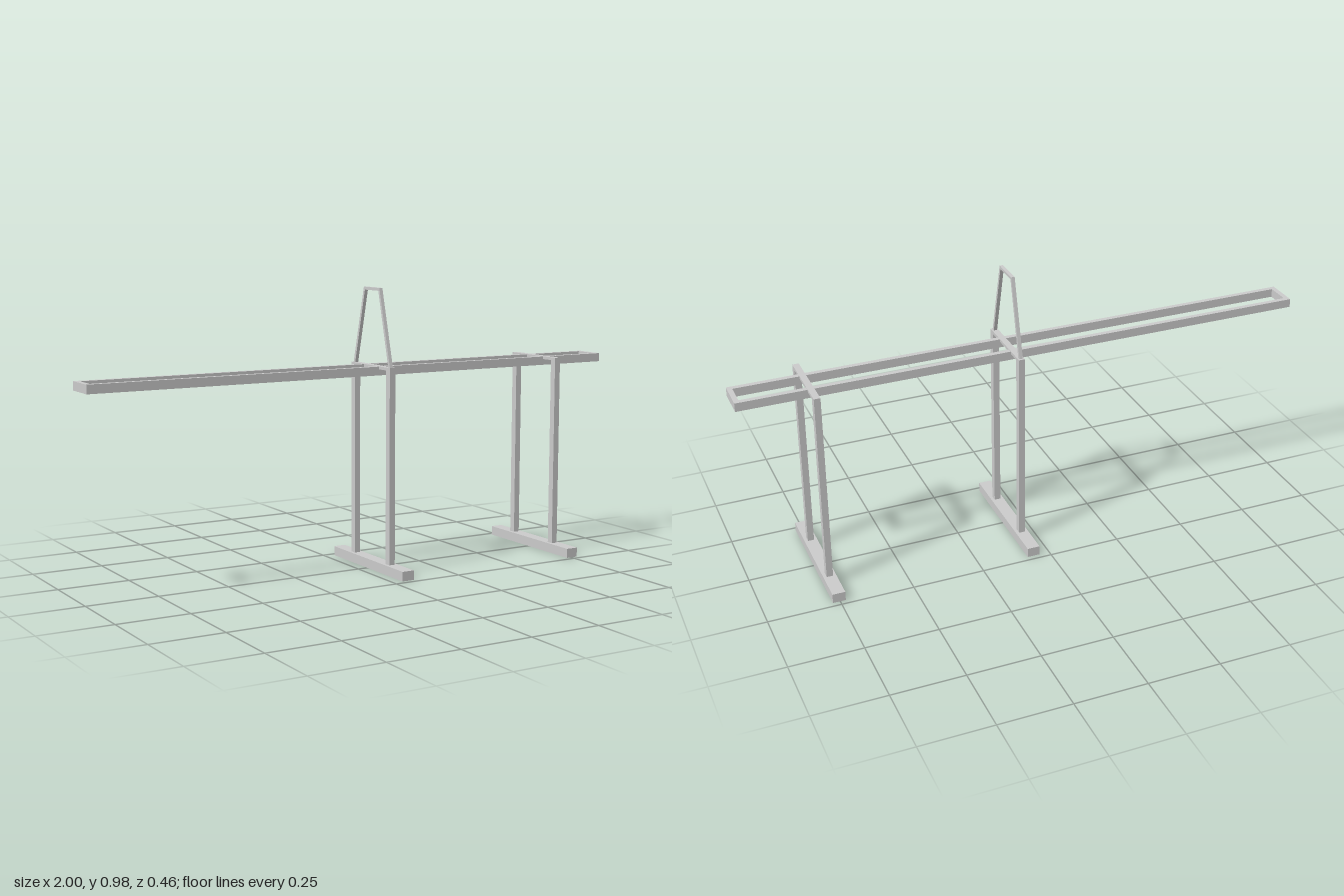
import * as THREE from 'three';

export function createModel() {
  const model = new THREE.Group();
  const material = new THREE.MeshStandardMaterial({ color: 0xcccccc, flatShading: true });

  const box = (parent, name, [w, h, d], [x, y, z]) => {
    const mesh = new THREE.Mesh(new THREE.BoxGeometry(w, h, d), material);
    mesh.name = name;
    mesh.position.set(x, y, z);
    parent.add(mesh);
  };

  // Long horizontal frame: two rails closed by end bars
  const frame = new THREE.Group();
  frame.name = 'longFrame';
  model.add(frame);
  for (const s of [-1, 1]) {
    box(frame, 'rail', [2, 0.03, 0.017], [0, 0.694, s * 0.049]);
    box(frame, 'endBar', [0.017, 0.03, 0.081], [s * 0.9915, 0.694, 0]);
  }

  // Trestles: foot, two posts and a crossbar through the frame
  for (const x of [0.058, 0.753]) {
    const trestle = new THREE.Group();
    trestle.name = 'trestle';
    trestle.position.x = x;
    model.add(trestle);
    box(trestle, 'foot', [0.044, 0.033, 0.464], [0, 0.0165, 0]);
    for (const s of [-1, 1]) {
      box(trestle, 'post', [0.022, 0.677, 0.024], [0, 0.3715, s * 0.116]);
    }
    box(trestle, 'crossbar', [0.022, 0.01, 0.208], [0, 0.705, 0]);
  }

  // Tapered hoop standing on the middle trestle
  const hoopShape = new THREE.Shape([
    [0.121, 0.708], [0.051, 0.975], [-0.051, 0.975], [-0.121, 0.708],
    [-0.110, 0.708], [-0.044, 0.965], [0.044, 0.965], [0.110, 0.708],
  ].map(([z, y]) => new THREE.Vector2(z, y)));
  const hoopGeometry = new THREE.ExtrudeGeometry(hoopShape, { depth: 0.012, bevelEnabled: false });
  hoopGeometry.translate(0, 0, -0.006).rotateY(Math.PI / 2);
  const hoop = new THREE.Mesh(hoopGeometry, material);
  hoop.name = 'hoop';
  hoop.position.x = 0.058;
  model.add(hoop);

  return model;
}
